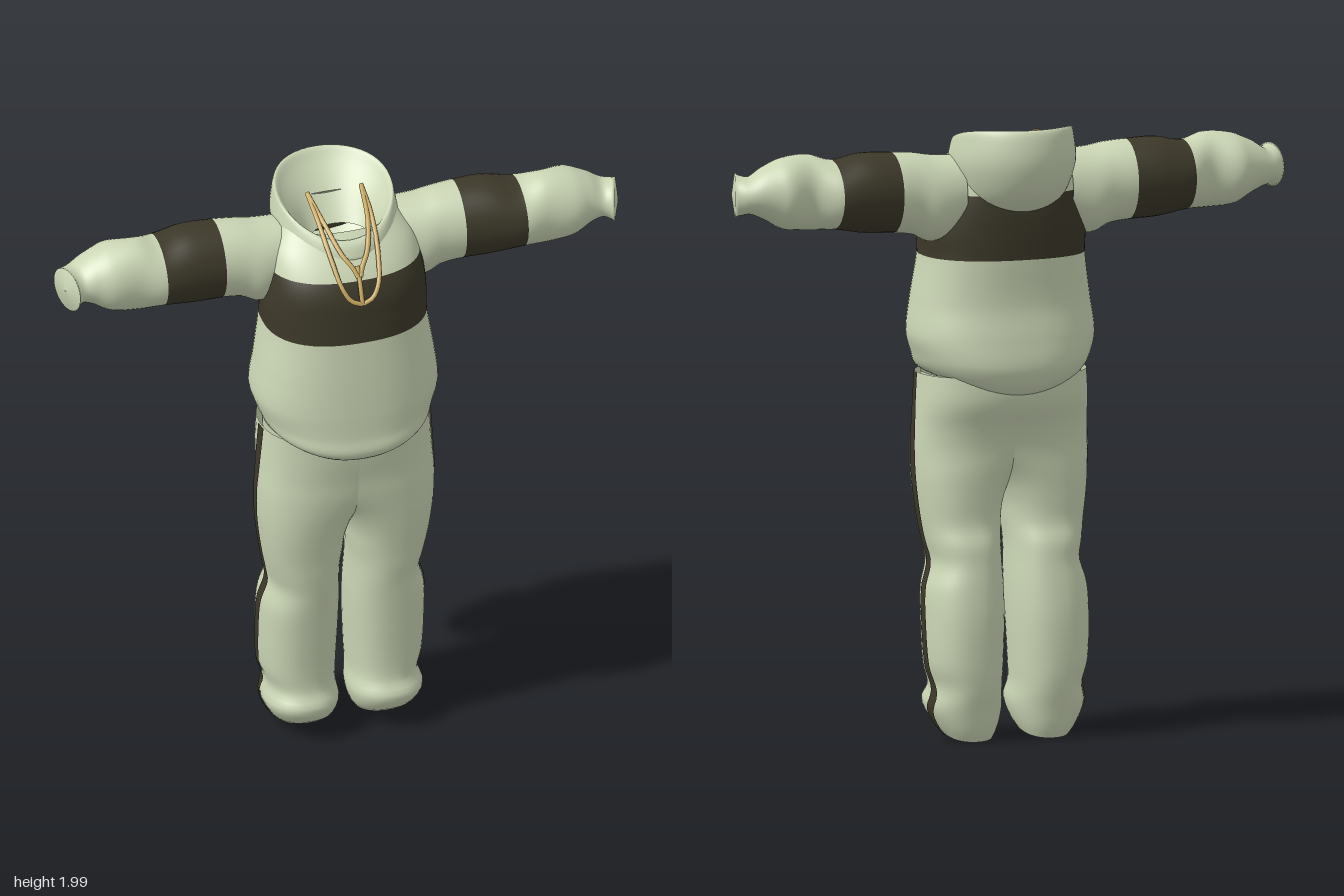
import * as THREE from 'three';

const mat = (name, color) => {
  const m = new THREE.MeshStandardMaterial({ color, side: THREE.DoubleSide });
  m.name = name;
  return m;
};

// Smooth interpolation of a table whose first column is an ascending key
function sample(table, k) {
  let i = 0;
  while (i < table.length - 2 && k > table[i + 1][0]) i++;
  const at = (n) => table[Math.min(Math.max(n, 0), table.length - 1)];
  const a = at(i), b = at(i + 1), p = at(i - 1), q = at(i + 2);
  const h = b[0] - a[0], t = (k - a[0]) / h;
  return a.slice(1).map((v, j) => {
    const c = j + 1;
    const m0 = ((b[c] - p[c]) / (b[0] - p[0])) * h, m1 = ((q[c] - a[c]) / (q[0] - a[0])) * h;
    const t2 = t * t, t3 = t2 * t;
    return (2 * t3 - 3 * t2 + 1) * v + (t3 - 2 * t2 + t) * m0 + (3 * t2 - 2 * t3) * b[c] + (t3 - t2) * m1;
  });
}

// Skin through closed rings; rows whose key lies inside band use the second material
function loft(table, step, point, band, cols = 40) {
  const k0 = table[0][0], k1 = table[table.length - 1][0];
  const rows = Math.round((k1 - k0) / step);
  const pos = [], plain = [], dark = [];
  for (let i = 0; i <= rows; i++) {
    const k = k0 + ((k1 - k0) * i) / rows, s = sample(table, k);
    for (let j = 0; j < cols; j++) pos.push(...point(s, (j / cols) * Math.PI * 2, k));
    if (i === rows) break;
    const mid = k + (k1 - k0) / rows / 2;
    const list = band && mid > band[0] && mid < band[1] ? dark : plain;
    for (let j = 0; j < cols; j++) {
      const a = i * cols + j, b = i * cols + ((j + 1) % cols);
      list.push(a, b, b + cols, a, b + cols, a + cols);
    }
  }
  const g = new THREE.BufferGeometry();
  g.setAttribute('position', new THREE.Float32BufferAttribute(pos, 3));
  g.setIndex([...plain, ...dark]);
  g.addGroup(0, plain.length, 0);
  if (dark.length) g.addGroup(plain.length, dark.length, 1);
  g.computeVertexNormals();
  return g;
}

// Copy on the other side, with the corner order turned round
function mirror(g) {
  const m = g.clone(), p = m.attributes.position, ix = m.index;
  for (let i = 0; i < p.count; i++) p.setX(i, -p.getX(i));
  for (let i = 0; i < ix.count; i += 3) {
    const b = ix.getX(i + 1);
    ix.setX(i + 1, ix.getX(i + 2));
    ix.setX(i + 2, b);
  }
  m.computeVertexNormals();
  return m;
}

const round = (v, p) => Math.sign(v) * Math.abs(v) ** (2 / p);

export function createModel() {
  const cloth = mat('pale green cloth', 0xcbd6b5);
  const dark = mat('dark brown cloth', 0x3c3829);
  const gold = mat('gold cord', 0xc8a860);
  const model = new THREE.Group();
  model.name = 'tracksuit';
  const add = (name, geometry, material) => {
    const mesh = new THREE.Mesh(geometry, material);
    mesh.name = name;
    model.add(mesh);
  };
  const addPair = (name, geometry, material) => {
    add(name + 'Left', geometry, material);
    add(name + 'Right', mirror(geometry), material);
  };

  // Jacket body: y, half width, front z, back z
  const body = [
    [1.12, 0.2, 0.22, -0.15], [1.14, 0.235, 0.268, -0.175], [1.17, 0.265, 0.288, -0.195],
    [1.22, 0.283, 0.28, -0.21], [1.31, 0.302, 0.274, -0.2], [1.42, 0.29, 0.265, -0.182],
    [1.57, 0.268, 0.25, -0.188], [1.65, 0.268, 0.243, -0.192], [1.72, 0.262, 0.235, -0.192],
    [1.78, 0.252, 0.208, -0.185], [1.84, 0.235, 0.16, -0.17], [1.9, 0.19, 0.095, -0.15],
  ];
  add('jacketBody', loft(body, 0.01, ([w, f, b], a, y) => {
    const x = w * round(Math.sin(a), 2.4);
    const z = (f + b) / 2 + ((f - b) / 2) * round(Math.cos(a), 2.4);
    const lift = 0.05 * (x / w) ** 2 * Math.max(0, 1 - (y - 1.12) / 0.2);
    return [x, y + lift, z];
  }, [1.57, 1.78], 56), [cloth, dark]);

  // Sleeves: x, top y, bottom y, front z, back z; the cuff slants and is closed
  const sleeve = [
    [0.18, 1.9, 1.66, 0.07, -0.15], [0.27, 1.905, 1.625, 0.085, -0.16], [0.33, 1.915, 1.65, 0.08, -0.155],
    [0.4, 1.92, 1.66, 0.083, -0.16], [0.5, 1.922, 1.665, 0.092, -0.163], [0.6, 1.905, 1.68, 0.1, -0.152],
    [0.68, 1.925, 1.68, 0.088, -0.11], [0.77, 1.917, 1.69, 0.088, -0.13], [0.83, 1.89, 1.725, 0.07, -0.105],
    [0.87, 1.862, 1.742, 0.065, -0.085], [0.9, 1.866, 1.735, 0.075, -0.062], [0.92, 1.864, 1.738, 0.084, -0.035],
    [0.922, 1.803, 1.799, 0.026, 0.022],
  ];
  addPair('sleeve', loft(sleeve, 0.01, ([t, b, f, r], a, x) => {
    const y = (t + b) / 2 + ((t - b) / 2) * Math.cos(a);
    const z = (f + r) / 2 + ((f - r) / 2) * Math.sin(a);
    return [x - Math.max(0, (x - 0.8) / 0.12) * 0.35 * (z - 0.025), y, z];
  }, [0.4, 0.6], 36), [cloth, dark]);

  // Trouser legs: y, inner x, outer x, front z, back z; the halves merge at the hips
  const leg = [
    [0.03, 0.05, 0.21, 0.1, -0.1], [0.06, 0.033, 0.235, 0.14, -0.115], [0.12, 0.018, 0.262, 0.162, -0.13],
    [0.18, 0.025, 0.248, 0.138, -0.145], [0.25, 0.022, 0.266, 0.135, -0.152], [0.4, 0.016, 0.272, 0.147, -0.153],
    [0.5, 0.015, 0.268, 0.157, -0.143], [0.58, 0.018, 0.247, 0.165, -0.13], [0.64, 0.018, 0.258, 0.172, -0.122],
    [0.7, 0.012, 0.27, 0.177, -0.1], [0.78, 0, 0.282, 0.187, -0.098], [0.86, -0.04, 0.29, 0.197, -0.1],
    [0.95, -0.14, 0.292, 0.208, -0.104], [1.02, -0.2, 0.288, 0.213, -0.122], [1.1, -0.25, 0.284, 0.225, -0.158],
    [1.19, -0.26, 0.278, 0.235, -0.17],
  ];
  const slant = (y, z) => y + 0.28 * z * Math.max(0, 1 - y / 0.2);
  addPair('trouserLeg', loft(leg, 0.02, ([i, o, f, b], a, y) => {
    const z = (f + b) / 2 + ((f - b) / 2) * round(Math.cos(a), 2.3);
    return [(i + o) / 2 + ((o - i) / 2) * round(Math.sin(a), 2.3), slant(y, z), z];
  }, null, 48), cloth);

  // Side stripes lie just above the outer face of each leg: y, centre z
  const path = [
    [0.03, -0.012], [0.09, -0.015], [0.15, -0.036], [0.2, -0.022], [0.4, -0.002], [0.6, 0.02],
    [0.67, 0.035], [0.85, 0.042], [1.0, 0.05], [1.19, 0.06],
  ];
  const stripe = new THREE.PlaneGeometry(1, 1, 4, 58);
  const sp = stripe.attributes.position;
  for (let n = 0; n < sp.count; n++) {
    const y = 0.03 + (sp.getY(n) + 0.5) * 1.16;
    const [i, o, f, b] = sample(leg, y);
    const z = sample(path, y)[0] - sp.getX(n) * 0.042;
    const d = Math.min(1, Math.abs((z - (f + b) / 2) / ((f - b) / 2)));
    const x = (i + o) / 2 + ((o - i) / 2) * (1 - d ** 2.3) ** (1 / 2.3);
    sp.setXYZ(n, x + 0.005, slant(y, z), z);
  }
  stripe.computeVertexNormals();
  addPair('sideStripe', stripe, dark);

  // Lowered hood, from its base over the rim and down to the neck opening:
  // step, half width, front z, back z, front y, back y
  const hood = [
    [0, 0.14, 0.15, -0.17, 1.8, 1.71], [1, 0.18, 0.165, -0.25, 1.83, 1.78], [2, 0.203, 0.16, -0.29, 1.85, 1.88],
    [3, 0.197, 0.145, -0.285, 1.875, 1.965], [4, 0.188, 0.125, -0.265, 1.885, 2.0],
    [5, 0.165, 0.115, -0.23, 1.87, 1.965], [6, 0.13, 0.115, -0.16, 1.845, 1.9], [7, 0.1, 0.105, -0.08, 1.8, 1.82],
  ];
  add('hood', loft(hood, 0.25, ([w, f, b, yf, yb], a) => {
    const t = (1 + Math.cos(a)) / 2;
    return [w * Math.sin(a), yb + (yf - yb) * t * t, b + (f - b) * t];
  }, null, 48), cloth);

  // Drawstrings hanging from the hood opening
  const cord = (points) => new THREE.TubeGeometry(
    new THREE.CatmullRomCurve3(points.map((p) => new THREE.Vector3(...p))), 28, 0.008, 6);
  addPair('outerDrawstring', cord([
    [0.09, 1.965, -0.06], [0.088, 1.925, 0.06], [0.078, 1.85, 0.165], [0.06, 1.775, 0.232],
    [0.035, 1.735, 0.25], [0, 1.72, 0.255],
  ]), gold);
  addPair('innerDrawstring', cord([
    [0.09, 1.965, -0.06], [0.07, 1.92, 0.08], [0.042, 1.86, 0.165], [0.015, 1.825, 0.2], [0.004, 1.8, 0.218],
  ]), gold);
  add('centreDrawstring', cord([[0, 1.83, 0.195], [0, 1.78, 0.228], [0, 1.72, 0.255]]), gold);

  return model;
}
